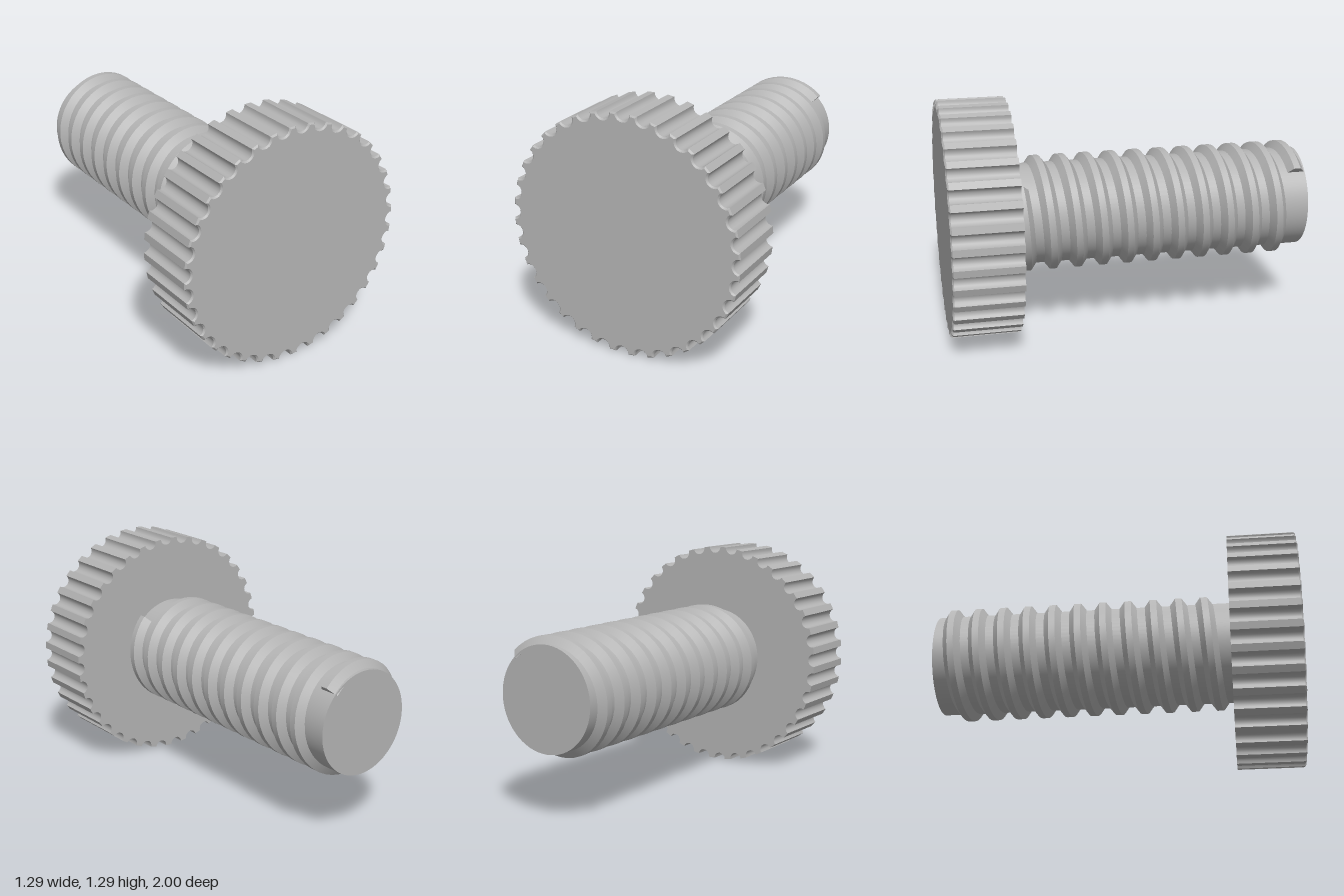
import * as THREE from 'three';
import { toCreasedNormals } from 'three/addons/utils/BufferGeometryUtils.js';

const AXIS_Y = 0.647;      // height of the screw axis
const HEAD_R = 0.647;
const HEAD_BACK = 0.63;
const SHAFT_R = 0.277;
const THREAD_R = 0.317;
const PITCH = 0.1404;

// Skin a series of closed loops (counter-clockwise about the travel direction) and cap both ends.
function loft(loops) {
  const n = loops[0].length;
  const points = loops.flat();
  const index = [];
  for (let i = 0; i < loops.length - 1; i++) {
    for (let j = 0; j < n; j++) {
      const a = i * n + j, b = i * n + (j + 1) % n;
      index.push(a, b, b + n, a, b + n, a + n);
    }
  }
  const addCap = (start, flip) => {
    const centre = new THREE.Vector3();
    for (let j = 0; j < n; j++) centre.addScaledVector(points[start + j], 1 / n);
    const c = points.push(centre) - 1;
    for (let j = 0; j < n; j++) {
      const a = start + j, b = start + (j + 1) % n;
      index.push(c, flip ? b : a, flip ? a : b);
    }
  };
  const lastLoop = (loops.length - 1) * n;
  addCap(0, true);
  addCap(lastLoop, false);
  const geometry = new THREE.BufferGeometry().setFromPoints(points);
  geometry.setIndex(index);
  return toCreasedNormals(geometry, 0.5);
}

// Outline of the grip: a circle with 36 round notches, shrunk by inset.
function gripLoop(z, inset) {
  const notches = 36, steps = 8;
  const r = 0.037 + inset, outer = HEAD_R - inset;
  const reach = Math.acos((HEAD_R ** 2 + r ** 2 - outer ** 2) / (2 * HEAD_R * r));
  const loop = [];
  for (let k = 0; k < notches; k++) {
    const a = THREE.MathUtils.degToRad(k * 10 - 2);
    for (let s = 0; s <= steps; s++) {
      const t = reach * (2 * s / steps - 1);
      const u = HEAD_R - r * Math.cos(t), v = r * Math.sin(t);
      loop.push(new THREE.Vector3(
        u * Math.cos(a) - v * Math.sin(a), u * Math.sin(a) + v * Math.cos(a), z));
    }
  }
  return loop;
}

// Right-handed helical ridge with a trapezoid section, eleven turns.
function threadGeometry() {
  const profile = [[SHAFT_R - 0.012, -0.057], [THREAD_R, -0.018], [THREAD_R, 0.018], [SHAFT_R - 0.012, 0.057]];
  const perTurn = 48, turns = 11, startTurn = -0.875;
  const loops = [];
  for (let i = 0; i <= perTurn * turns; i++) {
    const turn = startTurn + i / perTurn;
    const phi = turn * Math.PI * 2;
    const z = 0.474 - PITCH * turn;
    loops.push(profile.map(([r, dz]) =>
      new THREE.Vector3(r * Math.sin(phi), r * Math.cos(phi), z + dz)));
  }
  return loft(loops);
}

export function createModel() {
  const steel = new THREE.MeshStandardMaterial({ color: 0xb4b4b4 });
  steel.name = 'grey steel';

  const model = new THREE.Group();
  model.name = 'thumbScrew';
  const add = (name, geometry) => {
    const mesh = new THREE.Mesh(geometry, steel);
    mesh.name = name;
    mesh.position.y = AXIS_Y;
    model.add(mesh);
  };

  // Notched head with a fine bevel round the front face
  add('head', loft([gripLoop(HEAD_BACK, 0), gripLoop(0.992, 0), gripLoop(1, 0.008)]));

  // Plain shaft, running slightly into the head
  const shaftLength = HEAD_BACK + 1.02;
  const shaft = new THREE.CylinderGeometry(SHAFT_R, SHAFT_R, shaftLength, 64);
  shaft.rotateX(Math.PI / 2);
  shaft.translate(0, 0, -1 + shaftLength / 2);
  add('shaft', shaft);

  add('thread', threadGeometry());
  return model;
}
